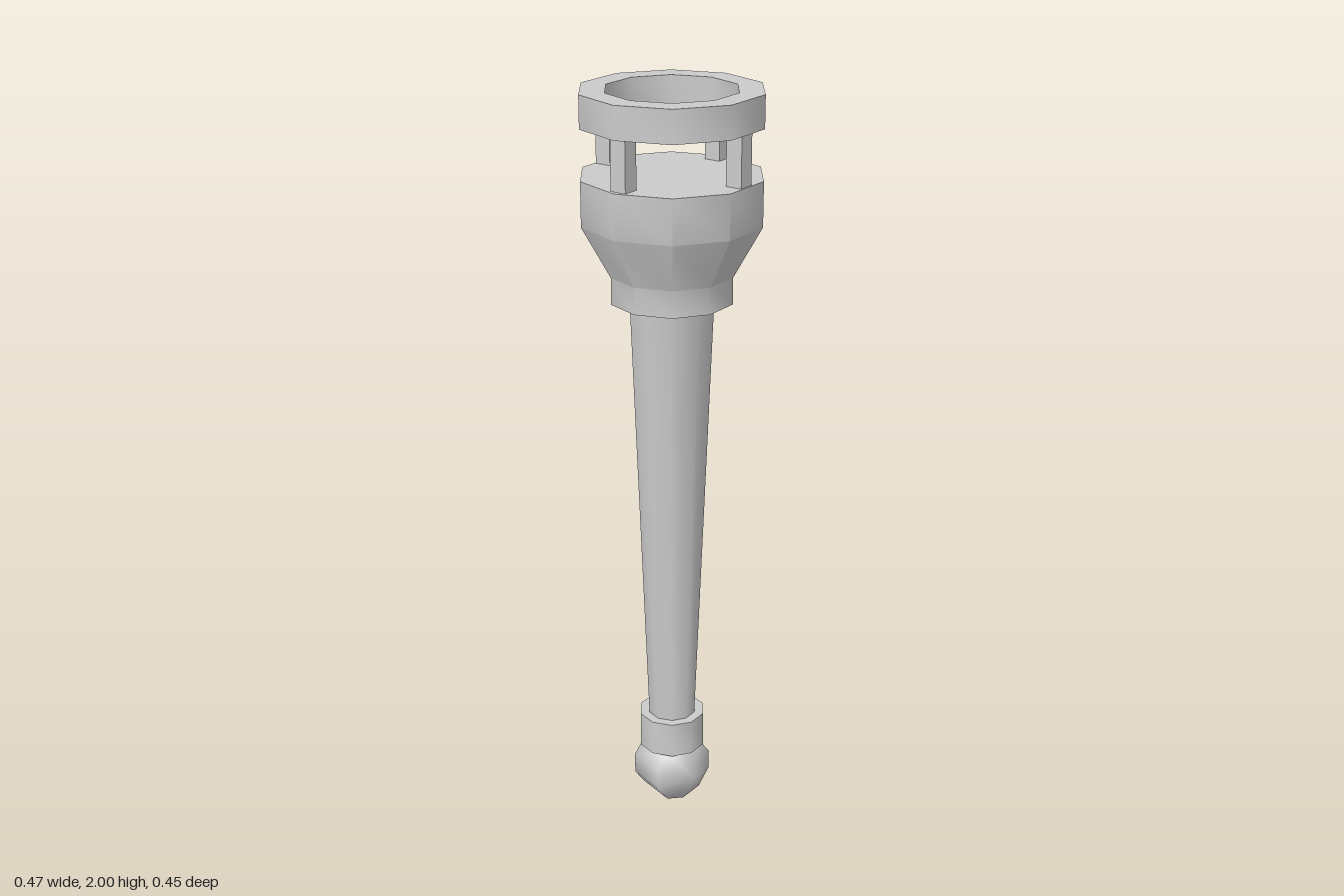
import * as THREE from 'three';
import { toCreasedNormals } from 'three/addons/utils/BufferGeometryUtils.js';

const SIDES = 10;

export function createModel() {
  const model = new THREE.Group();
  model.name = 'lanternSceptre';
  const material = new THREE.MeshStandardMaterial({ color: 0xcccccc });

  function add(name, geometry) {
    const mesh = new THREE.Mesh(geometry, material);
    mesh.name = name;
    model.add(mesh);
    return mesh;
  }

  // Ten-sided turned part: smooth round the sides, sharp at the caps
  function turned(name, profile) {
    const points = profile.map(([r, y]) => new THREE.Vector2(r, y));
    const lathe = new THREE.LatheGeometry(points, SIDES, Math.PI / 2);
    return add(name, toCreasedNormals(lathe, THREE.MathUtils.degToRad(42)));
  }

  // Pommel: a coarse ball with its poles pointing sideways
  const ball = new THREE.SphereGeometry(0.108, SIDES, 3);
  ball.rotateZ(Math.PI / 2);
  add('pommel', ball).position.y = 0.097;

  turned('collar', [[0, 0.17], [0.091, 0.17], [0.091, 0.27], [0, 0.27]]);
  turned('shaft', [[0, 0.26], [0.065, 0.26], [0.112, 1.48], [0, 1.48]]);

  // Flared head with a flat top
  turned('head', [
    [0, 1.47], [0.16, 1.47], [0.16, 1.54], [0.234, 1.675], [0.234, 1.79], [0, 1.79],
  ]);

  // Four posts carrying the crown ring
  for (let i = 0; i < 4; i++) {
    const angle = Math.PI / 10 + (i * Math.PI) / 2;
    const post = add('post' + (i + 1), new THREE.BoxGeometry(0.044, 0.15, 0.044));
    post.position.set(Math.sin(angle) * 0.197, 1.855, Math.cos(angle) * 0.197);
    post.rotation.y = angle;
  }

  turned('crownRing', [
    [0.169, 1.917], [0.234, 1.917], [0.234, 2], [0.169, 2], [0.169, 1.917],
  ]);

  return model;
}
